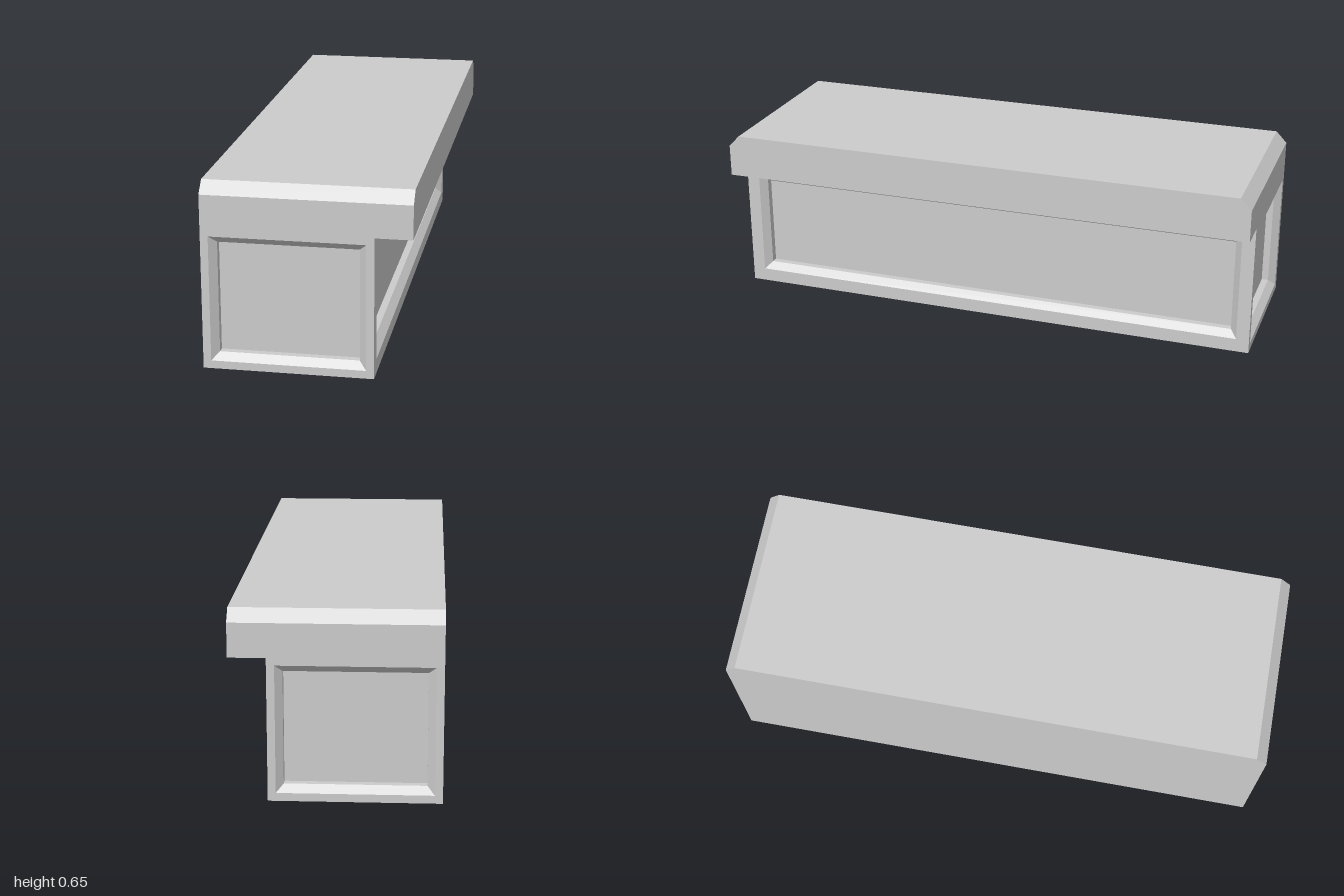
import * as THREE from 'three';

const LEFT = 0.355;    // lid half width
const BODY_X = 0.228;  // recessed side of the body
const BODY_H = 0.495;
const TOP = 0.655;
const BEVEL = 0.025;
const DEPTH = 0.05;

// Wall facing +z with a bevelled, sunken panel: nested rectangles joined ring by ring.
// Rectangles are [u0, v0, u1, v1].
function panelWall(outer, hole) {
  const inner = [hole[0] + BEVEL, hole[1] + BEVEL, hole[2] - BEVEL, hole[3] - BEVEL];
  const corners = ([a, b, c, d], z) => [[a, b, z], [c, b, z], [c, d, z], [a, d, z]];
  const rings = [corners(outer, 0), corners(hole, 0), corners(inner, -BEVEL), corners(inner, -DEPTH)];
  const pos = [];
  const quad = (a, b, c, d) => pos.push(...a, ...b, ...c, ...a, ...c, ...d);
  for (let r = 0; r < rings.length - 1; r++) {
    for (let i = 0; i < 4; i++) {
      const j = (i + 1) % 4;
      quad(rings[r][i], rings[r][j], rings[r + 1][j], rings[r + 1][i]);
    }
  }
  quad(...rings[3]); // panel floor
  const geo = new THREE.BufferGeometry();
  geo.setAttribute('position', new THREE.Float32BufferAttribute(pos, 3));
  geo.computeVertexNormals();
  return geo;
}

export function createModel() {
  const group = new THREE.Group();
  const mat = new THREE.MeshStandardMaterial({ color: 0xcccccc, flatShading: true });
  const add = (name, geo) => {
    const mesh = new THREE.Mesh(geo, mat);
    mesh.name = name;
    group.add(mesh);
    return mesh;
  };

  // Overhanging top with chamfered ends: (z, y) profile extruded along x
  const profile = new THREE.Shape([
    [-1, BODY_H], [1, BODY_H], [1, 0.613], [0.96, TOP], [-0.96, TOP], [-1, 0.613],
  ].map(([z, y]) => new THREE.Vector2(z, y)));
  const top = new THREE.ExtrudeGeometry(profile, { depth: LEFT * 2, bevelEnabled: false });
  top.translate(0, 0, -LEFT).rotateY(Math.PI / 2);
  add('countertop', top);

  // End walls with sunken panels
  add('frontPanel', panelWall([-LEFT, 0, BODY_X, BODY_H], [-0.328, 0.028, 0.201, 0.47]))
    .position.z = 1;
  const back = add('backPanel', panelWall([-BODY_X, 0, LEFT, BODY_H], [-0.201, 0.028, 0.328, 0.47]));
  back.position.z = -1;
  back.rotation.y = Math.PI;

  // Long side wall with sunken panel, under the overhang
  const side = add('sidePanel', panelWall([-1, 0, 1, BODY_H], [-0.952, 0.05, 0.952, 0.45]));
  side.position.x = BODY_X;
  side.rotation.y = Math.PI / 2;

  // Plain long side and underside
  const plain = add('plainSide', new THREE.PlaneGeometry(2, BODY_H));
  plain.position.set(-LEFT, BODY_H / 2, 0);
  plain.rotation.y = -Math.PI / 2;
  const base = add('underside', new THREE.PlaneGeometry(LEFT + BODY_X, 2));
  base.position.x = (BODY_X - LEFT) / 2;
  base.rotation.x = Math.PI / 2;

  return group;
}
